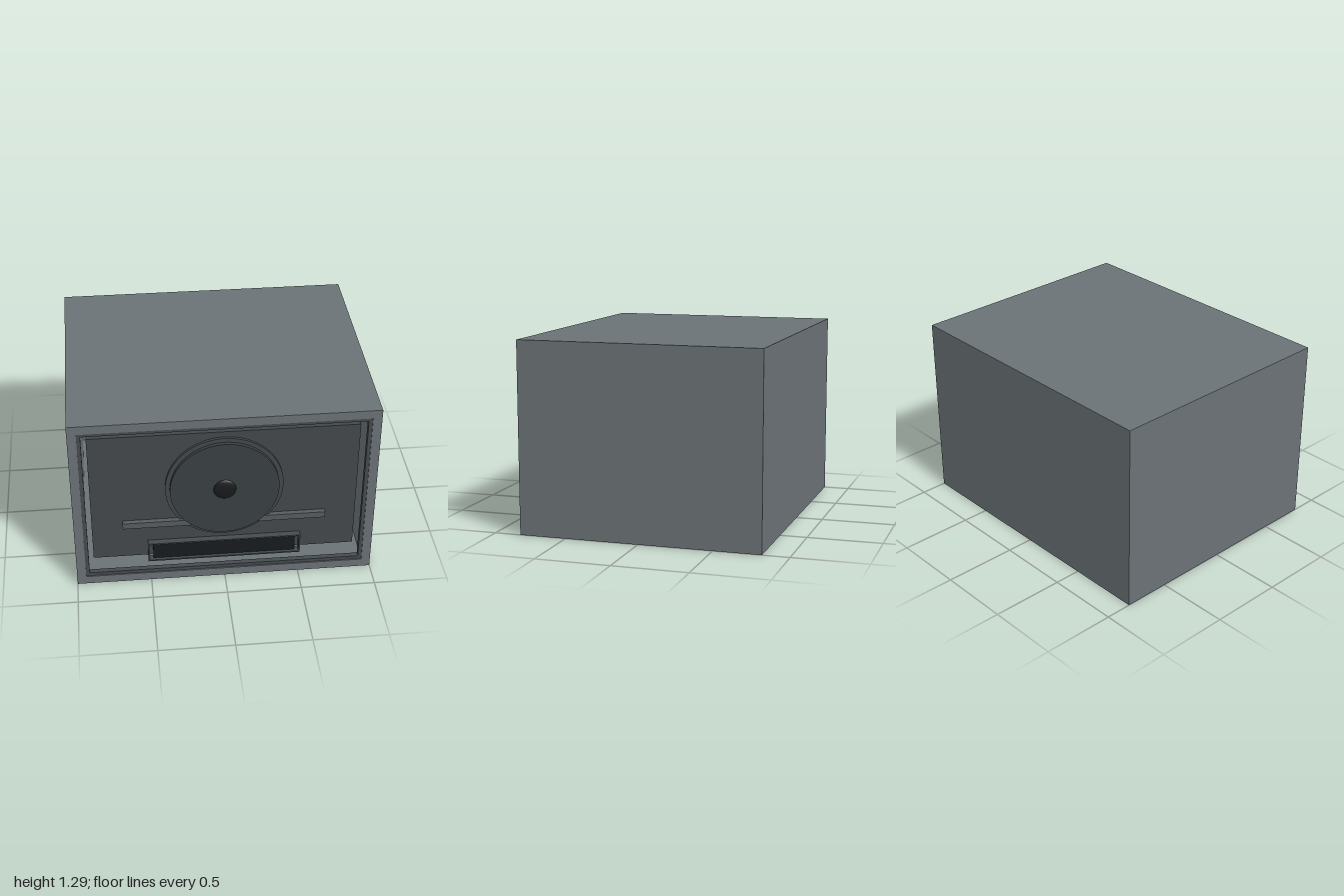
import * as THREE from 'three';

const mat = (color) => new THREE.MeshStandardMaterial({ color });

export function createModel() {
  const model = new THREE.Group();
  const shellMat = mat(0x6b7276);
  const trimMat = mat(0x454b4e);
  const panelMat = mat(0x43484b);
  const discMat = mat(0x3a3f42);
  const barMat = mat(0x565c5f);
  const blackMat = mat(0x181b1d);

  const add = (name, geometry, material, x, y, z) => {
    const mesh = new THREE.Mesh(geometry, material);
    mesh.name = name;
    mesh.position.set(x, y, z);
    model.add(mesh);
    return mesh;
  };

  const box = (name, w, h, z0, z1, y, material) =>
    add(name, new THREE.BoxGeometry(w, h, z1 - z0), material, 0, y, (z0 + z1) / 2);

  // Rectangular tube open along z
  const frame = (name, w, h, border, z0, z1, y, material) => {
    const rect = (path, a, b) => path.moveTo(-a, -b).lineTo(a, -b).lineTo(a, b).lineTo(-a, b).closePath();
    const shape = rect(new THREE.Shape(), w / 2, h / 2);
    shape.holes.push(rect(new THREE.Path(), w / 2 - border, h / 2 - border));
    const geometry = new THREE.ExtrudeGeometry(shape, { depth: z1 - z0, bevelEnabled: false });
    return add(name, geometry, material, 0, y, z0);
  };

  // Round plate facing the front
  const disc = (name, radius, z0, z1, y, material) => {
    const geometry = new THREE.CylinderGeometry(radius, radius, z1 - z0, 64).rotateX(Math.PI / 2);
    return add(name, geometry, material, 0, y, (z0 + z1) / 2);
  };

  // Hollow cabinet with a closed back
  frame('cabinetShell', 2, 1.295, 0.06, -0.82, 0.82, 0.6475, shellMat);
  box('cabinetBack', 1.88, 1.175, -0.82, -0.76, 0.6475, shellMat);
  frame('openingTrim', 1.88, 1.175, 0.025, 0.78, 0.815, 0.65, trimMat);

  // Front panel standing free inside the opening
  box('frontPanel', 1.766, 0.985, 0.71, 0.747, 0.6525, panelMat);

  // Dial
  disc('dialRing', 0.39, 0.74, 0.765, 0.715, panelMat);
  disc('dialFace', 0.36, 0.74, 0.79, 0.715, discMat);
  const hub = add('dialHub', new THREE.SphereGeometry(0.075, 32, 16), blackMat, 0, 0.715, 0.79);
  hub.scale.z = 0.25;

  // Horizontal bar passing behind the dial face
  box('crossBar', 1.355, 0.045, 0.74, 0.78, 0.442, barMat);

  // Slot with a dark insert
  frame('slotFrame', 1.03, 0.15, 0.01, 0.74, 0.79, 0.21, trimMat);
  box('slotInsert', 0.96, 0.13, 0.73, 0.77, 0.21, blackMat);

  return model;
}
